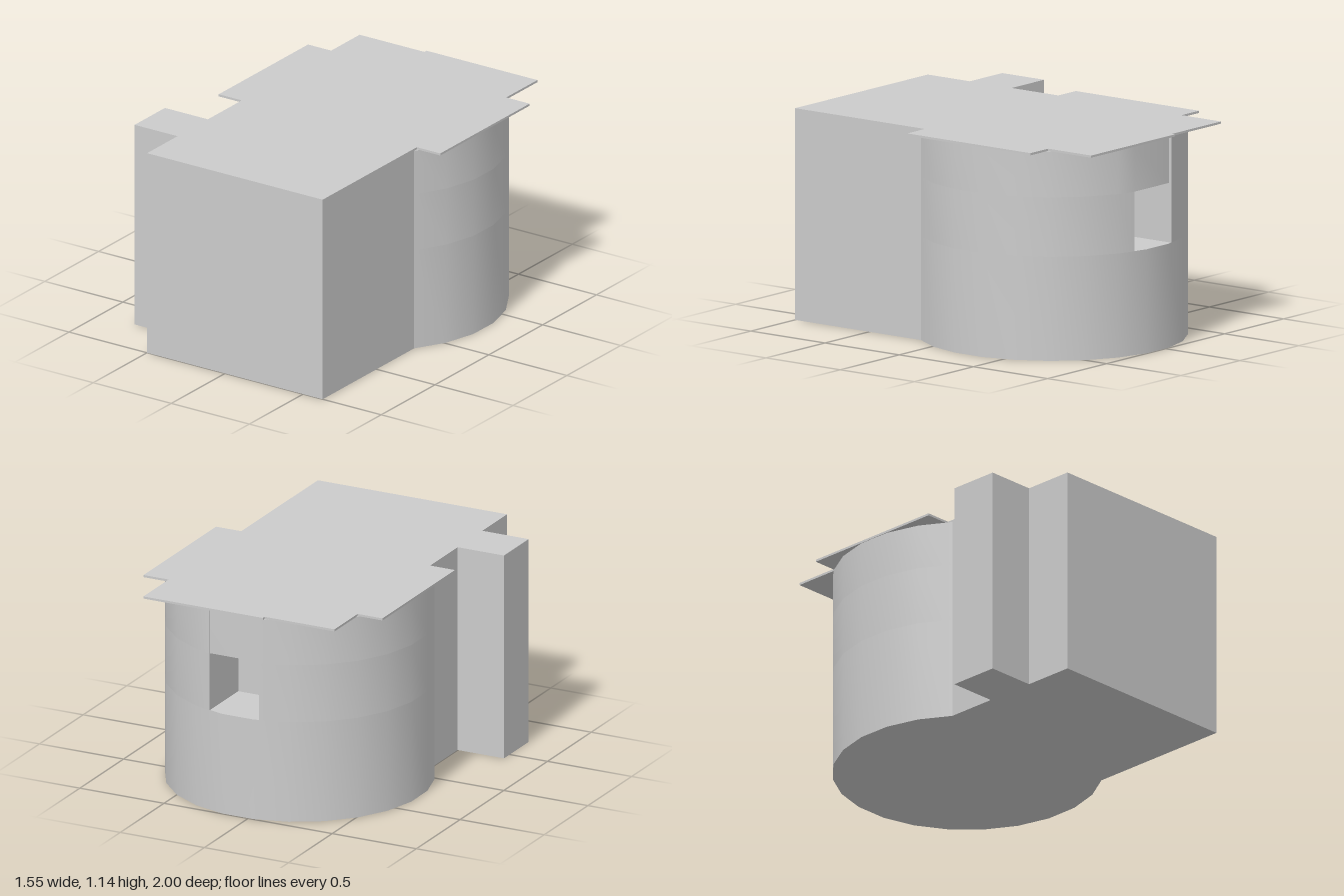
import * as THREE from 'three';
import { toCreasedNormals } from 'three/addons/utils/BufferGeometryUtils.js';

const CX = 0.063, CZ = -0.288, R = 0.714;      // round end of the plan
const LEFT = 0.625, RIGHT = -0.5, FRONT = 1, JOIN = 0.152;
const SILL = 0.56, HEAD = 0.88, EAVE = 1.128, TOP = 1.14;
const WIN_L = 0.24, WIN_R = -0.06;             // window jambs

const material = new THREE.MeshStandardMaterial({ color: 0xcccccc });

// Upright prism from a plan outline of [x, z] points
function prism(name, plan, y0, y1) {
  const shape = new THREE.Shape(plan.map(([x, z]) => new THREE.Vector2(x, -z)));
  const geo = new THREE.ExtrudeGeometry(shape, { depth: y1 - y0, bevelEnabled: false });
  geo.rotateX(-Math.PI / 2).translate(0, y0, 0);
  const mesh = new THREE.Mesh(toCreasedNormals(geo, 0.35), material);
  mesh.name = name;
  return mesh;
}

// Point on the round wall, angle measured from the back
const onArc = (t) => [CX + R * Math.sin(t), CZ - R * Math.cos(t)];
const angleAt = (x) => Math.asin((x - CX) / R);

// Plan of the body; an opening of the given back depth may be cut in the round wall
function bodyPlan(openingZ) {
  const end = Math.PI - Math.asin((LEFT - CX) / R);
  const n = 17;
  const tL = angleAt(WIN_L), tR = angleAt(WIN_R);
  const before = [], after = [];
  for (let i = 0; i <= n; i++) {
    const t = end * (1 - (2 * i) / n);
    if (openingZ === undefined || t > tL + 0.01) before.push(onArc(t));
    else if (t < tR - 0.01) after.push(onArc(t));
  }
  const opening = openingZ === undefined ? [] :
    [onArc(tL), [WIN_L, openingZ], [WIN_R, openingZ], onArc(tR)];
  return [[RIGHT, JOIN], [RIGHT, FRONT], [LEFT, FRONT], [LEFT, JOIN],
    ...before.slice(1), ...opening, ...after,
  ].slice(0, openingZ === undefined ? -1 : undefined).filter(
    ([x, z], i) => i === 0 || Math.hypot(x - RIGHT, z - JOIN) > 0.02);
}

export function createModel() {
  const group = new THREE.Group();
  group.name = 'building';

  // Walls in three storeys: below, at and above the window
  group.add(prism('lowerWalls', bodyPlan(), 0, SILL));
  group.add(prism('windowWalls', bodyPlan(-0.65), SILL, HEAD));
  group.add(prism('upperWalls', bodyPlan(-0.975), HEAD, EAVE));

  // Thin stepped roof plate
  group.add(prism('roofPlate', [
    [RIGHT, FRONT], [LEFT, FRONT], [LEFT, 0.125], [0.775, 0.125], [0.775, -0.705],
    [LEFT, -0.705], [LEFT, -0.995], [-0.085, -0.995], [-0.085, -0.975], [RIGHT, -0.975],
    [RIGHT, -0.71], [-0.648, -0.71], [-0.648, 0.12], [RIGHT, 0.12],
  ], EAVE, TOP));

  // Square shaft on the right side
  group.add(prism('chimney', [[-0.775, 0.435], [-0.775, 0.717], [RIGHT, 0.717], [RIGHT, 0.435]], 0, TOP));

  return group;
}
